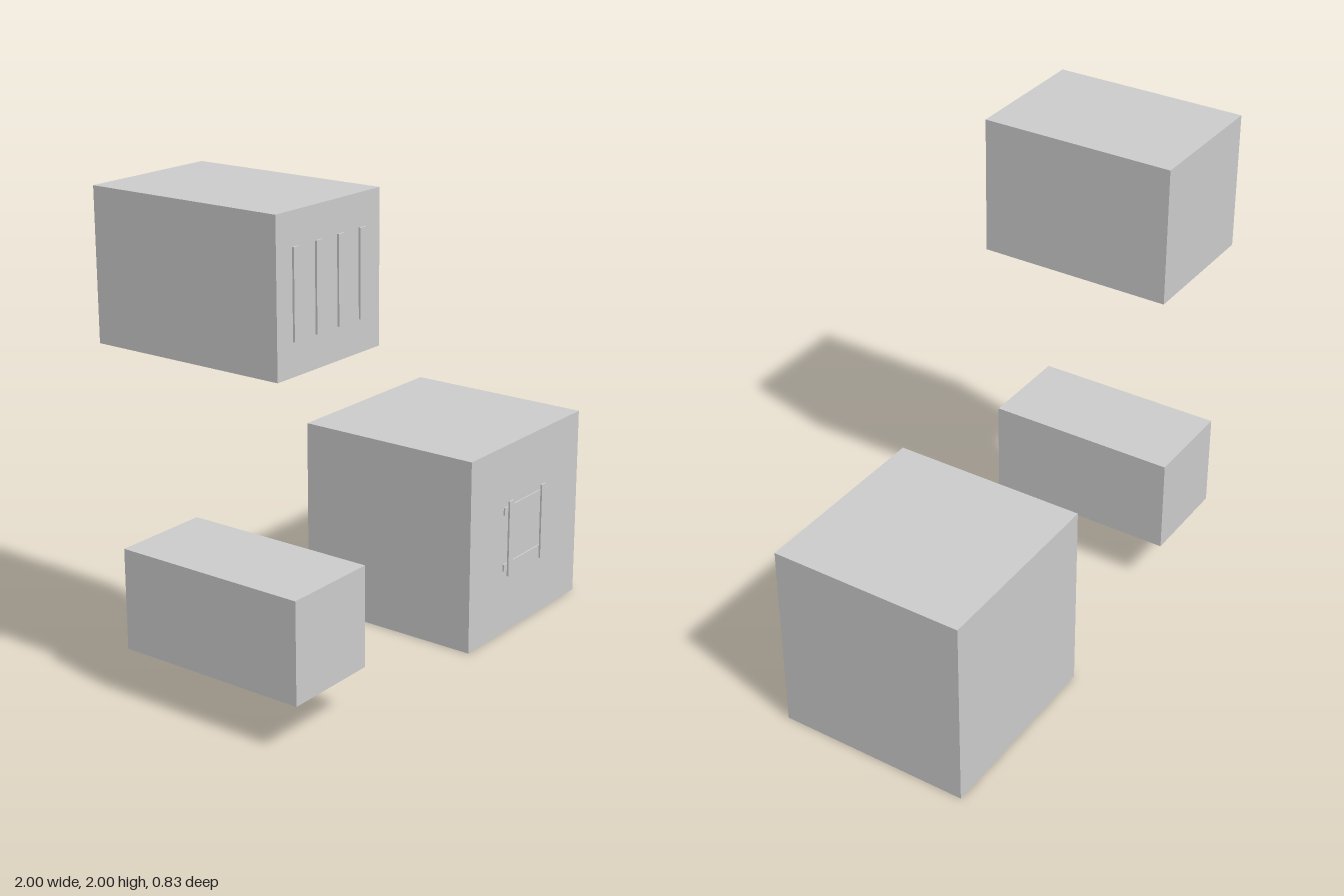
import * as THREE from 'three';

export function createModel() {
  const model = new THREE.Group();
  const material = new THREE.MeshStandardMaterial({ color: 0xcccccc, flatShading: true });

  // Box given by its lower and upper limits on each axis
  function block(name, [x0, x1], [y0, y1], [z0, z1], parent = model) {
    const mesh = new THREE.Mesh(new THREE.BoxGeometry(x1 - x0, y1 - y0, z1 - z0), material);
    mesh.position.set((x0 + x1) / 2, (y0 + y1) / 2, (z0 + z1) / 2);
    mesh.name = name;
    parent.add(mesh);
  }

  // Three separate blocks sharing the same depth
  const depth = [-0.415, 0.4];
  block('upperBlock', [-1, -0.43], [1.43, 2], depth);
  block('smallBlock', [-0.92, -0.512], [0.208, 0.615], depth);
  block('largeBlock', [0.185, 1], [0, 0.815], depth);

  // Row of upright bars on the front of the upper block
  const bars = new THREE.Group();
  bars.name = 'frontBars';
  model.add(bars);
  for (let i = 0; i < 4; i++) {
    const x = -0.9 + i * 0.122;
    block('bar', [x - 0.016, x + 0.016], [1.553, 1.878], [0.4, 0.408], bars);
  }

  // Crossed frame on the front of the large block: rails in front of rungs
  const frame = new THREE.Group();
  frame.name = 'frontFrame';
  model.add(frame);
  for (const side of [-1, 1]) {
    const y = 0.413 + side * 0.123;
    block('rung', [0.426, 0.75], [y - 0.016, y + 0.016], [0.4, 0.407], frame);
    const x = 0.588 + side * 0.123;
    block('rail', [x - 0.016, x + 0.016], [0.25, 0.575], [0.407, 0.415], frame);
  }
  return model;
}
